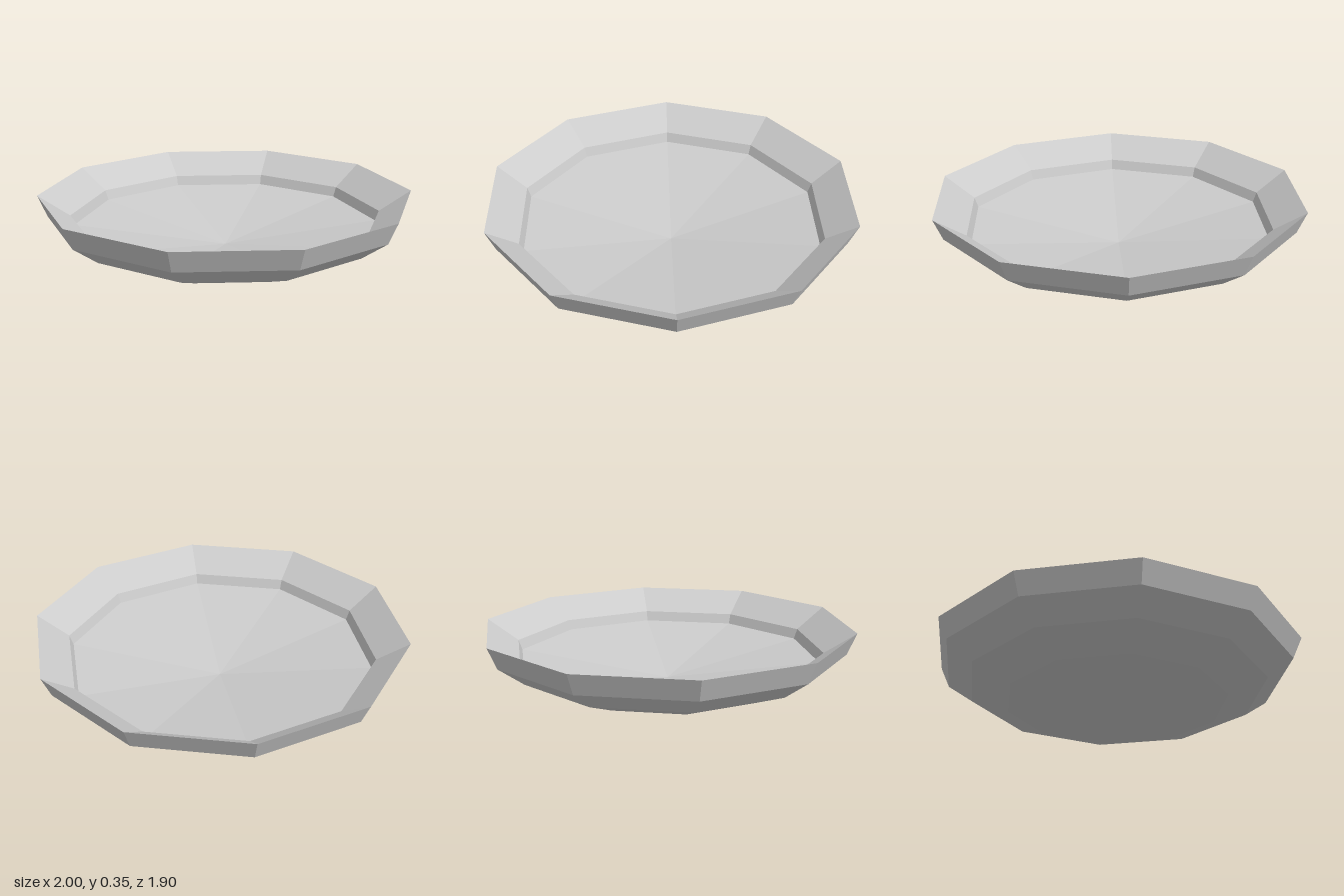
import * as THREE from 'three';

const SIDES = 10;

// Faceted ten-sided ring surface from [radius, height] pairs, corners on the x axis
function facetedLathe(name, profile) {
  const points = profile.map(([r, y]) => new THREE.Vector2(r, y));
  const geometry = new THREE.LatheGeometry(points, SIDES, Math.PI / 2);
  const material = new THREE.MeshStandardMaterial({
    color: 0xcccccc, flatShading: true, side: THREE.DoubleSide,
  });
  const mesh = new THREE.Mesh(geometry, material);
  mesh.name = name;
  return mesh;
}

export function createModel() {
  const bowl = new THREE.Group();
  bowl.name = 'bowl';

  // Rounded outside, from the small flat foot up to the sharp rim
  bowl.add(facetedLathe('outerShell', [
    [0, 0], [0.31, 0.005], [0.6, 0.06], [0.81, 0.14], [0.95, 0.24], [1, 0.355],
  ]));

  // Sloping inside of the rim with a steep step below it
  bowl.add(facetedLathe('innerRim', [[1, 0.355], [0.83, 0.243], [0.81, 0.19]]));

  // Shallow cone-shaped floor of the dish
  bowl.add(facetedLathe('innerFloor', [[0.81, 0.19], [0, 0.07]]));

  return bowl;
}
